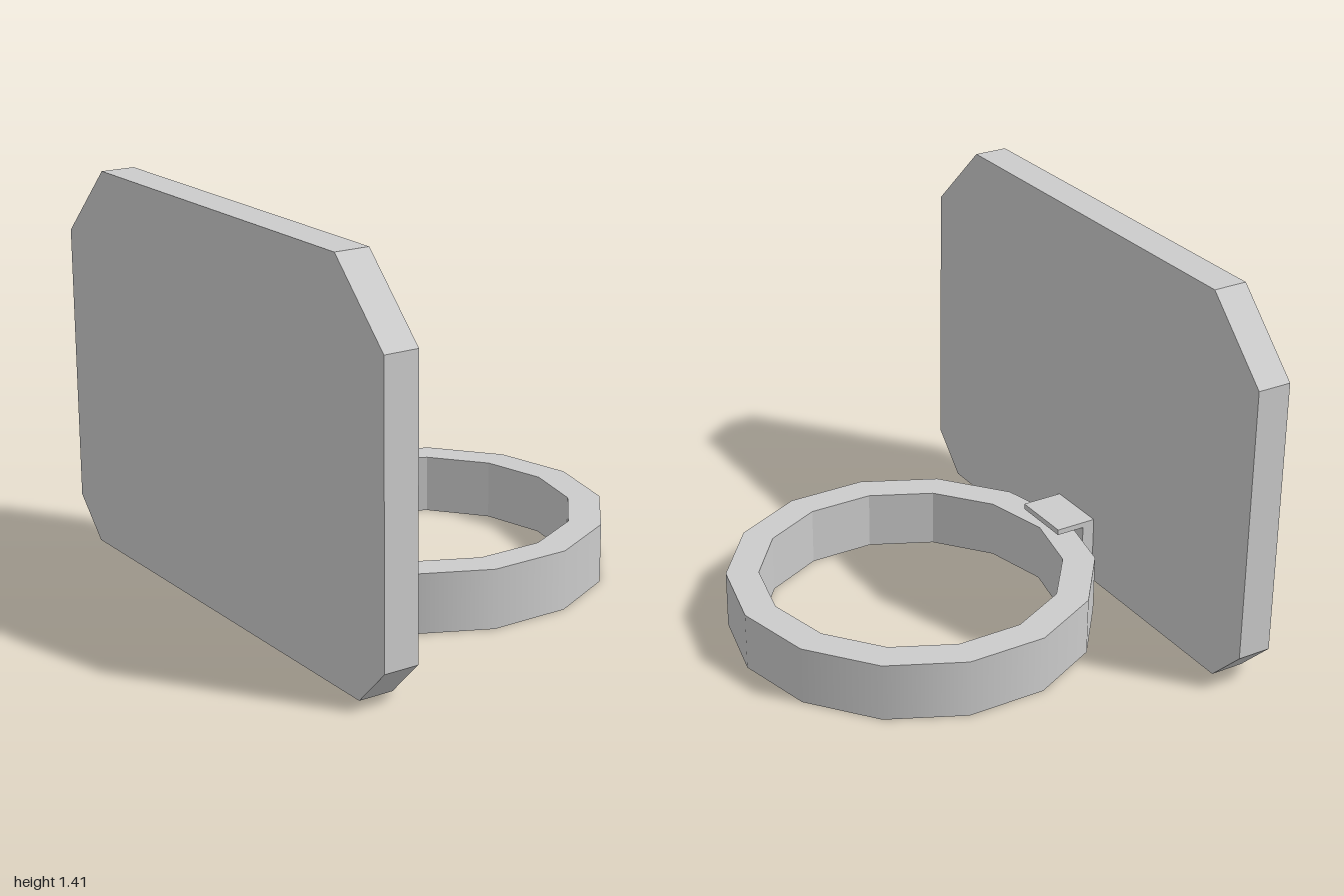
import * as THREE from 'three';
import { mergeGeometries } from 'three/addons/utils/BufferGeometryUtils.js';

export function createModel() {
  const model = new THREE.Group();
  const material = new THREE.MeshStandardMaterial({ color: 0xcccccc });
  const add = (name, geometry) => {
    const mesh = new THREE.Mesh(geometry, material);
    mesh.name = name;
    model.add(mesh);
    return mesh;
  };

  // Upright plate with clipped corners, drawn in z/y and extruded along x
  const half = [[0.86, 0], [1, 0.14], [1, 1.155], [0.74, 1.413]];
  const outline = [...half, ...half.map(([z, y]) => [-z, y]).reverse()];
  const plate = new THREE.ExtrudeGeometry(
    new THREE.Shape(outline.map(([z, y]) => new THREE.Vector2(z, y))),
    { depth: 0.126, bevelEnabled: false }
  );
  plate.rotateY(Math.PI / 2);
  add('backPlate', plate).position.x = -0.755;

  // Fourteen-sided ring: smooth outer wall, faceted inner wall, flat rims
  const outer = 0.666, inner = 0.548, height = 0.215;
  const band = (r1, y1, r2, y2) => new THREE.LatheGeometry(
    [new THREE.Vector2(r1, y1), new THREE.Vector2(r2, y2)], 14, Math.PI / 2
  ).toNonIndexed();
  const innerWall = band(inner, height, inner, 0);
  innerWall.computeVertexNormals();
  const ring = mergeGeometries([
    band(outer, 0, outer, height),
    band(outer, height, inner, height),
    innerWall,
    band(inner, 0, outer, 0),
  ]);
  add('ring', ring).position.x = 0.085;

  // L-shaped bracket between plate and ring, with a lip over the rim
  const bracketShape = new THREE.Shape([
    [-0.629, 0], [-0.582, 0], [-0.582, 0.234], [-0.472, 0.234], [-0.472, 0.255], [-0.629, 0.255],
  ].map(([x, y]) => new THREE.Vector2(x, y)));
  const bracket = new THREE.ExtrudeGeometry(bracketShape, { depth: 0.23, bevelEnabled: false });
  add('bracket', bracket).position.z = -0.11;

  return model;
}
